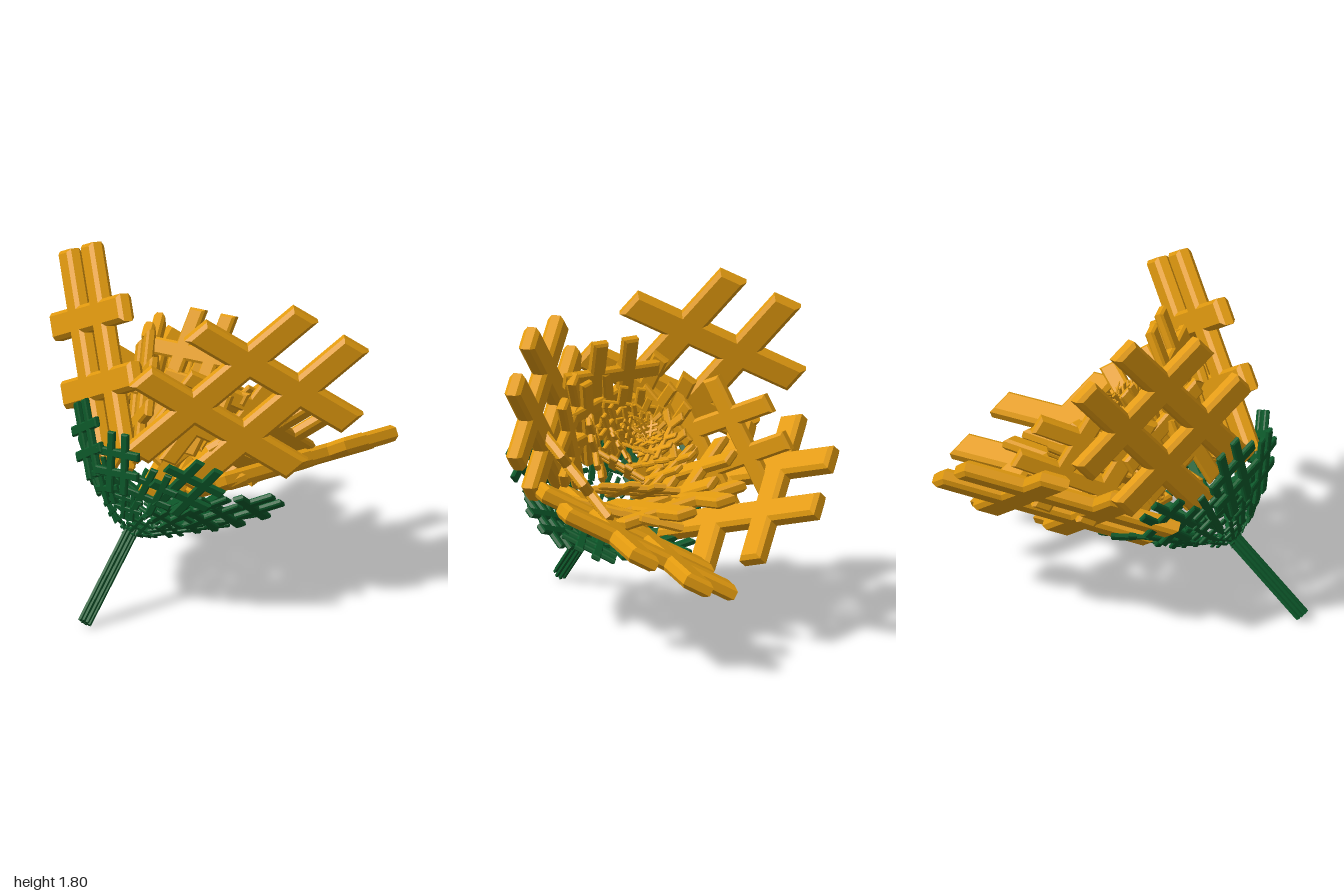
import * as THREE from 'three';

const V = (x, y, z) => new THREE.Vector3(x, y, z);
const rad = THREE.MathUtils.degToRad;
const lerp = THREE.MathUtils.lerp;

// Flower frame: base point, axis along the stem, and two cross directions
const BASE = V(-0.6, 0.42, 0.27);
const AXIS = V(0.68, 0.71, -0.17).normalize();
const E1 = V(0, 1, 0).addScaledVector(AXIS, -AXIS.y).normalize();
const E2 = AXIS.clone().cross(E1);

// Crossed-bar lattice: two long bars (y) over two cross bars (x)
function latticeGeometry(halfX, halfY, gapX, gapY, w, depth, bevel) {
  const h = w / 2;
  const quarter = [
    [gapX + h, gapY - h], [halfX, gapY - h], [halfX, gapY + h], [gapX + h, gapY + h],
    [gapX + h, halfY], [gapX - h, halfY], [gapX - h, gapY + h],
  ];
  const flipped = [...quarter].reverse();
  const outline = [
    ...quarter,
    ...flipped.map(([x, y]) => [-x, y]),
    ...quarter.map(([x, y]) => [-x, -y]),
    ...flipped.map(([x, y]) => [x, -y]),
  ].map(([x, y]) => new THREE.Vector2(x, y));
  const shape = new THREE.Shape(outline);
  const a = gapX - h, b = gapY - h;
  shape.holes.push(new THREE.Path([[-a, -b], [-a, b], [a, b], [a, -b]].map(([x, y]) => new THREE.Vector2(x, y))));
  const geo = new THREE.ExtrudeGeometry(shape, {
    depth: depth - 2 * bevel, bevelEnabled: bevel > 0, bevelThickness: bevel,
    bevelSize: bevel, bevelOffset: -bevel, bevelSegments: 1,
  });
  return geo.translate(0, 0, -(depth - 2 * bevel) / 2);
}

export function createModel() {
  const model = new THREE.Group();
  model.name = 'flower';
  const gold = new THREE.MeshStandardMaterial({ color: 0xe39b0f });
  const green = new THREE.MeshStandardMaterial({ color: 0x0d5a2b });
  const lattice = latticeGeometry(0.48, 0.57, 0.155, 0.185, 0.15, 0.085, 0.02);

  const groups = {};
  for (const name of ['outerPetals', 'middlePetals', 'innerPetals', 'sepals']) {
    groups[name] = new THREE.Group();
    groups[name].name = name;
    model.add(groups[name]);
  }

  // Lattice at a centre; long bars follow u, cross bars follow v (may be skewed)
  function addLattice(group, name, material, center, u, v, scale) {
    u.normalize();
    v.normalize();
    const n = v.clone().cross(u).normalize();
    const m = new THREE.Matrix4().makeBasis(v, u, n).scale(V(scale, scale, scale)).setPosition(center);
    const mesh = new THREE.Mesh(lattice.clone().applyMatrix4(m), material);
    mesh.name = name;
    group.add(mesh);
  }

  // Lattice placed around the axis: angle, radius, height, outward tilt, size
  function addAround(group, name, material, angle, r, height, tilt, scale, skew) {
    const out = E1.clone().multiplyScalar(Math.cos(rad(angle))).addScaledVector(E2, Math.sin(rad(angle)));
    const center = BASE.clone().addScaledVector(AXIS, height).addScaledVector(out, r);
    const u = AXIS.clone().multiplyScalar(Math.cos(rad(tilt))).addScaledVector(out, Math.sin(rad(tilt)));
    const v = AXIS.clone().cross(out).addScaledVector(u, skew);
    addLattice(group, name, material, center, u, v, scale);
  }

  // Four large outer petals and a smaller one at the back
  const outer = [
    [V(-0.11, 1.19, 0.61), V(0.7, 0.65, 0.3), V(0.76, -0.55, 0.33), 1.03],
    [V(-0.55, 1.26, -0.21), V(0.17, 0.76, -0.62), V(0.07, -0.43, -0.88), 1.02],
    [V(0.41, 0.6, 0.2), V(0.975, -0.02, -0.2), V(-0.09, 0.46, 0.91), 1.03],
    [V(-0.02, 0.71, -0.45), V(0.73, 0.29, -0.61), V(0.76, -0.56, 0.32), 1.03],
    [V(-0.18, 0.95, -0.33), V(0.55, 0.4, -0.65), V(0.3, -0.85, -0.4), 0.7],
  ];
  for (const [c, u, v, scale] of outer) addLattice(groups.outerPetals, 'outerPetal', gold, c, u, v, scale);

  // Middle petals filling the gaps: angle, radius, height, tilt, size
  const middle = [
    [195, 0.36, 0.76, 35, 0.72], [12, 0.33, 0.82, 20, 0.62], [112, 0.36, 0.72, 30, 0.68],
    [60, 0.32, 0.72, 22, 0.62], [-38, 0.33, 0.6, 26, 0.6],
    [158, 0.33, 0.64, 34, 0.64], [-130, 0.3, 0.68, 30, 0.58],
  ];
  for (const p of middle) addAround(groups.middlePetals, 'middlePetal', gold, ...p, 0.2);

  // Inner petals shrinking in a spiral to the heart
  const innerCount = 22;
  for (let i = 0; i < innerCount; i++) {
    const t = i / (innerCount - 1);
    addAround(groups.innerPetals, 'innerPetal', gold, 30 + i * 137.5,
      lerp(0.26, 0.01, Math.pow(t, 0.8)), lerp(0.72, 0.97, t), lerp(24, 55, t * t),
      lerp(0.5, 0.09, Math.pow(t, 0.6)), 0.2);
  }

  // Sepals: a lopsided bowl of small lattices growing outward from the stem
  const sepalCount = 28;
  for (let i = 0; i < sepalCount; i++) {
    const t = (i + 0.5) / sepalCount;
    const angle = i * 137.5;
    const lean = Math.cos(rad(angle));
    const r = 0.47 * Math.pow(t, 0.65) * (1 + 0.08 * lean);
    addAround(groups.sepals, 'sepal', green, angle, r, 0.36 * Math.pow(r / 0.47, 1.35) - 0.02 - 0.22 * r * lean,
      lerp(62, 44, t), lerp(0.1, 0.38, t), 0.2);
  }

  // Stem: a long ribbed bar with the same crossed section
  const foot = V(-0.97, 0.03, 0.42);
  const top = V(-0.6, 0.44, 0.27);
  const length = foot.distanceTo(top);
  const stem = new THREE.Mesh(latticeGeometry(0.033, 0.036, 0.011, 0.013, 0.013, length, 0), green);
  stem.name = 'stem';
  stem.position.copy(foot).lerp(top, 0.5);
  stem.lookAt(top);
  model.add(stem);

  return model;
}
